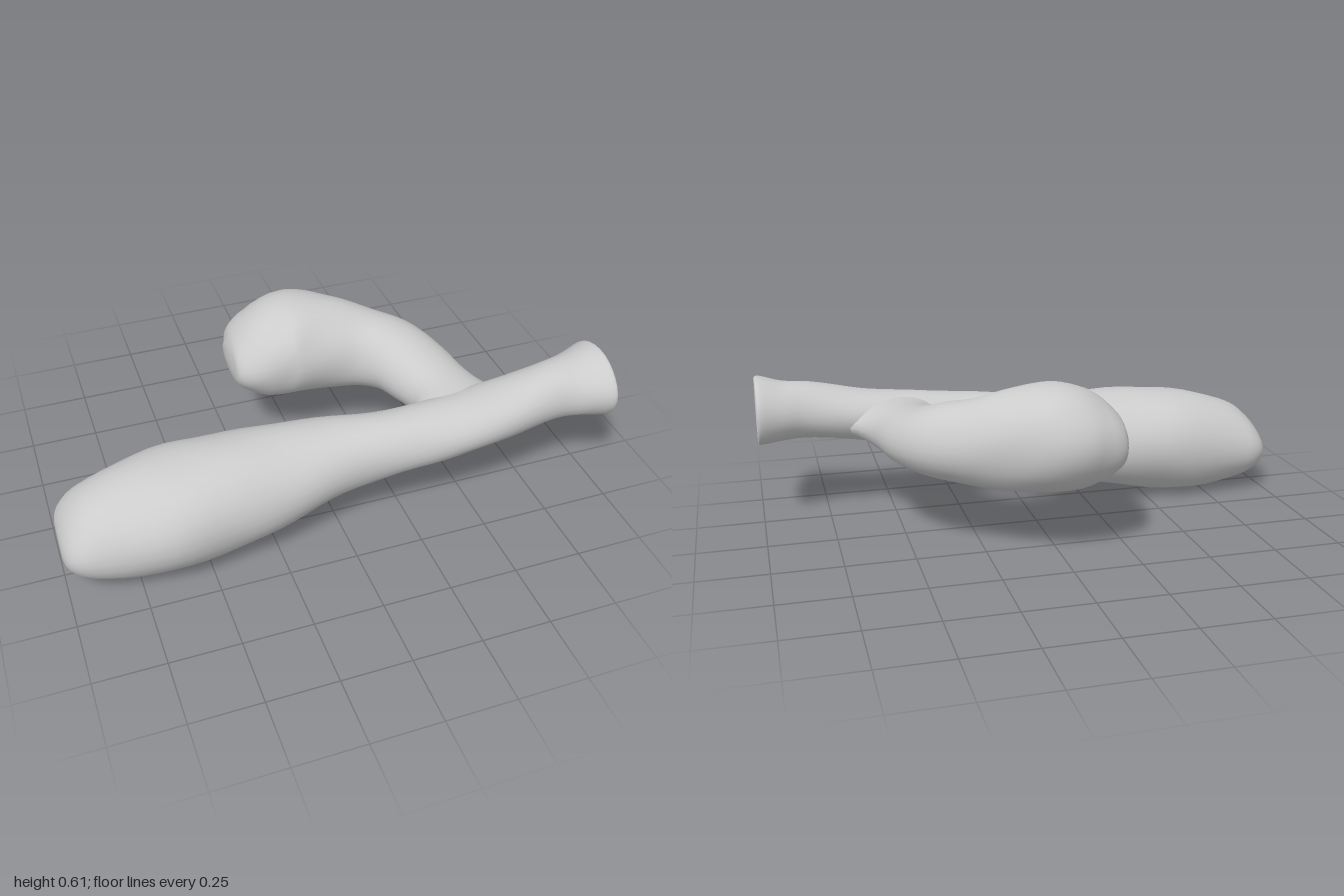
import * as THREE from 'three';

const SIDES = 28;
const material = new THREE.MeshStandardMaterial({ color: 0xcccccc, side: THREE.DoubleSide });

// Sweeps upright ellipses through stations [x, y, z, halfWidth, halfHeight].
// fixedDir keeps every section facing one way; adjust may move a vertex.
function loft(name, stations, { steps = 4, fixedDir = null, adjust = null } = {}) {
  const path = new THREE.CatmullRomCurve3(
    stations.map(s => new THREE.Vector3(s[0], s[1], s[2])), false, 'catmullrom', 0.5);
  const size = new THREE.CatmullRomCurve3(
    stations.map(s => new THREE.Vector3(s[3], s[4], 0)), false, 'catmullrom', 0.5);
  const rings = (stations.length - 1) * steps;
  const up = new THREE.Vector3(0, 1, 0);
  const positions = [], index = [];
  for (let i = 0; i <= rings; i++) {
    const t = i / rings;
    const c = path.getPoint(t), r = size.getPoint(t);
    const dir = fixedDir || path.getTangent(t).setY(0).normalize();
    const side = new THREE.Vector3().crossVectors(up, dir);
    for (let j = 0; j < SIDES; j++) {
      const a = j / SIDES * Math.PI * 2;
      // slight hand-shaped unevenness
      const k = 1 + 0.012 * Math.sin(3 * a + c.x * 11) + 0.008 * Math.sin(5 * a - c.x * 23 + c.z * 9);
      const p = c.clone()
        .addScaledVector(side, Math.cos(a) * Math.max(r.x, 0.001) * k)
        .addScaledVector(up, Math.sin(a) * Math.max(r.y, 0.001) * k);
      if (adjust) adjust(p, t, a);
      positions.push(p.x, p.y, p.z);
      if (i < rings) {
        const n = (j + 1) % SIDES, A = i * SIDES + j, B = i * SIDES + n;
        index.push(A, B, A + SIDES, B, B + SIDES, A + SIDES);
      }
    }
  }
  const geometry = new THREE.BufferGeometry();
  geometry.setAttribute('position', new THREE.Float32BufferAttribute(positions, 3));
  geometry.setIndex(index);
  geometry.computeVertexNormals();
  const mesh = new THREE.Mesh(geometry, material);
  mesh.name = name;
  return mesh;
}

export function createModel() {
  const group = new THREE.Group();
  group.name = 'branchedVessel';

  // Main body outline: x, bottom y, top y, back z, front z
  const outline = [
    [-0.995, 0.10, 0.22, 0.13, 0.35],
    [-0.95, 0.055, 0.29, 0.08, 0.41],
    [-0.86, 0.02, 0.35, 0.06, 0.44],
    [-0.64, 0.003, 0.41, 0.025, 0.485],
    [-0.42, 0.03, 0.425, 0.035, 0.472],
    [-0.20, 0.08, 0.425, 0.075, 0.44],
    [0.0, 0.15, 0.432, 0.135, 0.41],
    [0.2, 0.213, 0.44, 0.19, 0.425],
    [0.4, 0.25, 0.456, 0.20, 0.447],
    [0.6, 0.28, 0.478, 0.20, 0.445],
    [0.8, 0.305, 0.518, 0.21, 0.425],
    [0.9, 0.307, 0.528, 0.185, 0.445],
    [0.98, 0.297, 0.55, 0.162, 0.472],
  ];
  const section = (o, wall) => [o[0], (o[1] + o[2]) / 2, (o[3] + o[4]) / 2,
    (o[4] - o[3]) / 2 - wall, (o[2] - o[1]) / 2 - wall];
  const outer = outline.map(o => section(o, 0));
  const inner = outline.slice(1).reverse().map(o => section(o, 0.025));
  const rim = [[1, 0.423, 0.317, 0.152, 0.124], [1, 0.423, 0.317, 0.138, 0.11]];
  // Outside wall, over the rim and back along the hollow inside
  group.add(loft('hollowBody',
    [[-1, 0.16, 0.24, 0, 0], ...outer, ...rim, ...inner, [-0.96, 0.17, 0.24, 0, 0]],
    { fixedDir: new THREE.Vector3(1, 0, 0) }));

  // Curved side branch; its root wraps over the neck like a saddle
  group.add(loft('sideBranch', [
    [0.48, 0.36, 0.235, 0.185, 0.09],
    [0.468, 0.358, 0.14, 0.135, 0.1],
    [0.43, 0.367, 0.0, 0.142, 0.118],
    [0.375, 0.385, -0.11, 0.145, 0.137],
    [0.285, 0.395, -0.185, 0.146, 0.152],
    [0.165, 0.41, -0.24, 0.172, 0.178],
    [0.01, 0.422, -0.28, 0.21, 0.193],
    [-0.12, 0.41, -0.277, 0.188, 0.165],
    [-0.205, 0.4, -0.272, 0.15, 0.105],
    [-0.235, 0.4, -0.272, 0.09, 0.055],
    [-0.243, 0.4, -0.272, 0, 0],
  ], {
    adjust: (p, t, a) => { p.z += 0.09 * Math.sin(a) ** 2 * Math.max(0, 1 - t * 10); },
  }));
  return group;
}
